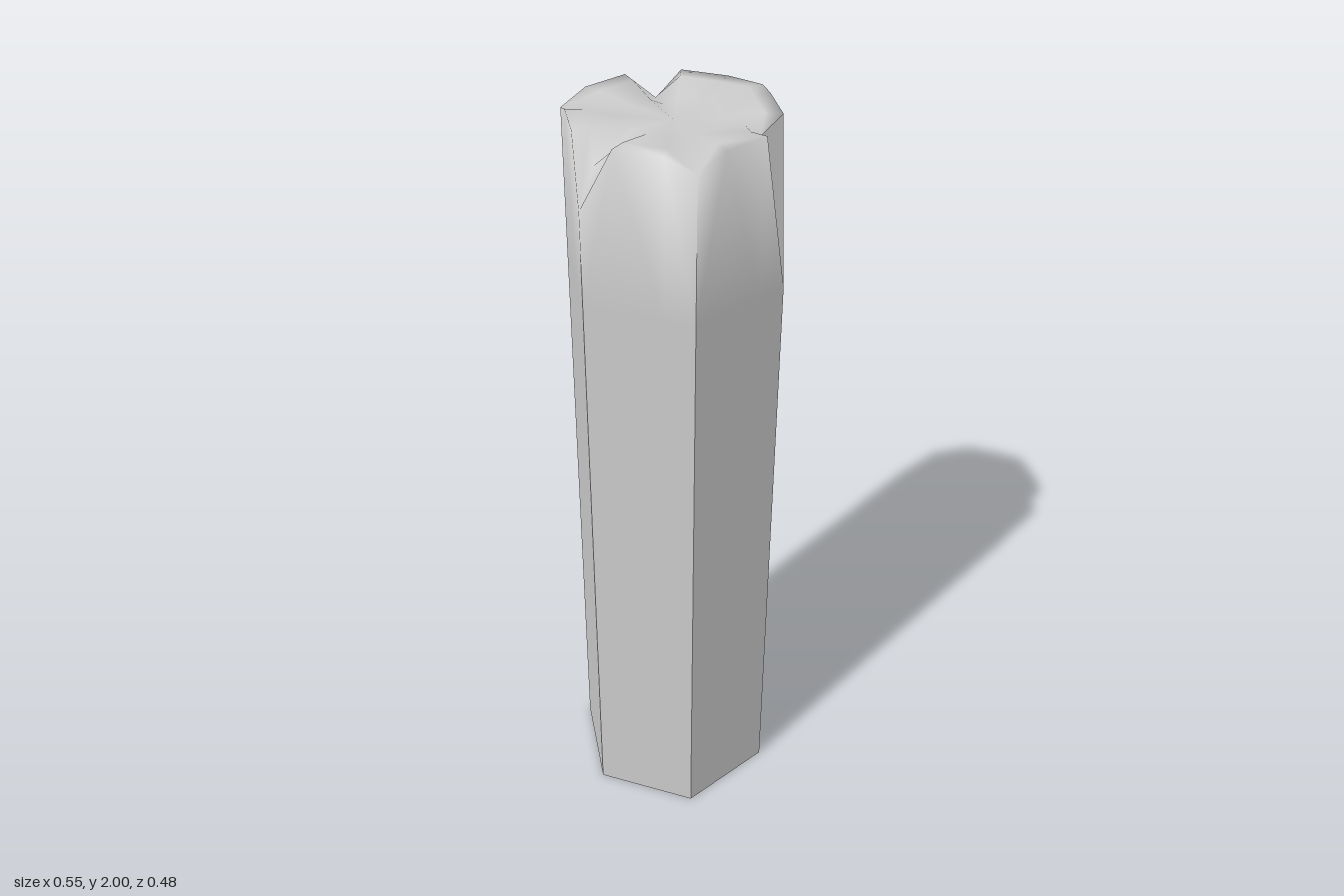
import * as THREE from 'three';

const R = 0.275, SHOULDER = 1.6;
// Rim height at each corner, starting at +x and turning towards +z
const CORNER_Y = [1.97, 1.97, 1.84, 1.97, 1.91, 1.99];

const corner = (k) => {
  const a = (k * Math.PI) / 3;
  return new THREE.Vector3(R * Math.cos(a), 0, R * Math.sin(a));
};

// Hexagon outline with two extra points along every side
function hexRing(y) {
  const pts = [];
  for (let k = 0; k < 6; k++)
    for (const t of [0, 0.27, 0.7]) {
      const p = corner(k).lerp(corner(k + 1), t);
      p.y = y;
      pts.push(p);
    }
  return pts;
}

export function createModel() {
  const N = 18;
  const base = hexRing(0), shoulder = hexRing(SHOULDER), rim = hexRing(2);
  CORNER_Y.forEach((y, k) => { rim[k * 3].y = y; });
  // Chipped notch on the +x corner
  rim[0].set(0.205, 1.97, 0);
  rim[N - 1].set(rim[1].x, 2, -rim[1].z);

  // Worn top: a ring just inside the rim, then a shallow dished centre
  const inner = rim.map((p) => new THREE.Vector3(p.x * 0.83, p.y * 0.4 + 2 * 0.6, p.z * 0.83));
  inner[12].y = 1.94;
  const middle = rim.map((p) => new THREE.Vector3(p.x * 0.45, 1.985, p.z * 0.45));
  middle[12].y = 1.965;
  const centre = new THREE.Vector3(0, 1.98, 0);
  const bottom = new THREE.Vector3(0, 0, 0);

  const tris = [];
  const add = (a, b, c, flat = false) => tris.push({ v: [a, b, c], flat });
  const band = (lo, hi, chip = false) => {
    for (let i = 0; i < N; i++) {
      const j = (i + 1) % N;
      if (i % 3 === 2) {
        add(lo[j], lo[i], hi[i]);
        add(lo[j], hi[i], hi[j], chip && j === 0);
      } else {
        add(lo[j], lo[i], hi[j]);
        add(lo[i], hi[i], hi[j], chip && i === 0);
      }
    }
  };
  band(base, shoulder);
  band(shoulder, rim, true);
  band(rim, inner);
  band(inner, middle);
  for (let i = 0; i < N; i++) {
    const j = (i + 1) % N;
    add(middle[j], middle[i], centre);
    add(base[i], base[j], bottom);
  }

  // Flat normals up to the shoulder and in the notch, averaged ones above
  const sums = new Map();
  for (const t of tris) {
    const [a, b, c] = t.v;
    t.n = b.clone().sub(a).cross(c.clone().sub(a));
    if (!t.flat) for (const p of t.v) {
      if (!sums.has(p)) sums.set(p, new THREE.Vector3());
      sums.get(p).add(t.n.clone().normalize());
    }
  }
  const pos = [], nor = [];
  for (const t of tris)
    for (const p of t.v) {
      const soft = !t.flat && p.y > SHOULDER + 0.01;
      const n = (soft ? sums.get(p) : t.n).clone().normalize();
      pos.push(p.x, p.y, p.z);
      nor.push(n.x, n.y, n.z);
    }
  const geo = new THREE.BufferGeometry();
  geo.setAttribute('position', new THREE.Float32BufferAttribute(pos, 3));
  geo.setAttribute('normal', new THREE.Float32BufferAttribute(nor, 3));

  const column = new THREE.Mesh(geo, new THREE.MeshStandardMaterial({ color: 0xcccccc }));
  column.name = 'stoneColumn';
  const group = new THREE.Group();
  group.name = 'hexagonalColumn';
  group.add(column);
  return group;
}
